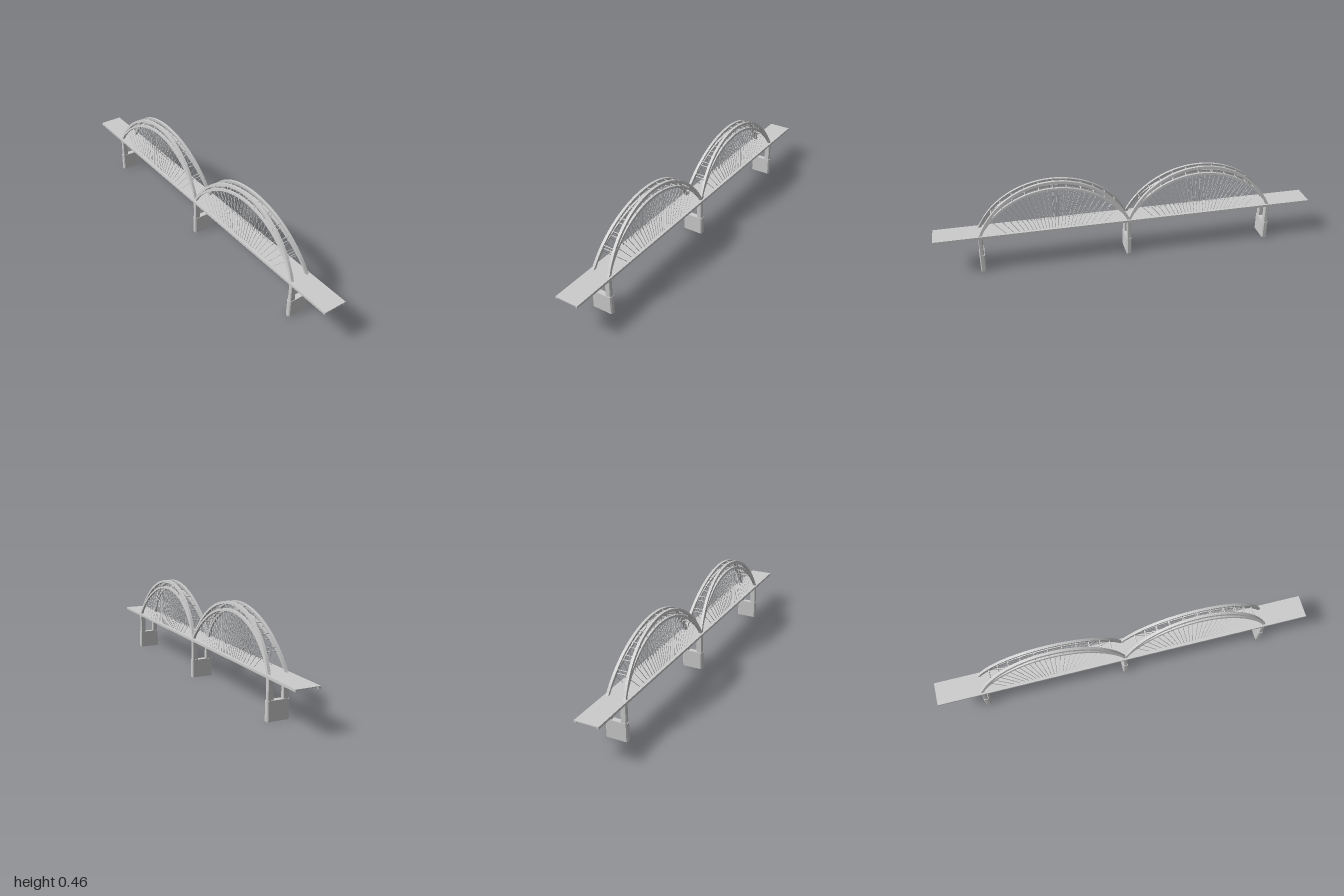
import * as THREE from 'three';

const material = new THREE.MeshStandardMaterial({ color: 0xcccccc, flatShading: true });
const DECK = 0.205, HALF = 0.3835;
const UPPER = { cy: 0.037, r: 0.418, t: 0.013, w: 0.014 };
const LOWER = { cy: -0.035, r: 0.455, t: 0.011, w: 0.012 };

// Arch planes lean inward as they rise
const lean = (y) => 0.0445 - (y - 0.21) * 0.108;
const archY = (arch, offset) => arch.cy + Math.sqrt(arch.r ** 2 - offset ** 2);

function add(parent, geometry, name) {
  const mesh = new THREE.Mesh(geometry, material);
  mesh.name = name;
  parent.add(mesh);
  return mesh;
}

function rod(parent, a, b, radius, sides, name) {
  const dir = b.clone().sub(a);
  const mesh = add(parent, new THREE.CylinderGeometry(radius, radius, dir.length(), sides), name);
  mesh.position.copy(a).add(b).multiplyScalar(0.5);
  mesh.quaternion.setFromUnitVectors(new THREE.Vector3(0, 1, 0), dir.normalize());
}

// Curved box beam, cut level at the deck and sheared into its leaning plane
function archRib({ cy, r, t, w }, side) {
  const points = [], steps = 40;
  for (const [radius, dir] of [[r + t / 2, 1], [r - t / 2, -1]]) {
    const end = Math.acos((DECK - cy) / radius);
    for (let i = 0; i <= steps; i++) {
      const a = dir * end * (2 * i / steps - 1);
      points.push(new THREE.Vector2(radius * Math.sin(a), cy + radius * Math.cos(a)));
    }
  }
  const geo = new THREE.ExtrudeGeometry(new THREE.Shape(points), { depth: w, bevelEnabled: false });
  geo.translate(0, 0, -w / 2).rotateY(-Math.PI / 2);
  const p = geo.attributes.position;
  for (let i = 0; i < p.count; i++) p.setX(i, p.getX(i) + side * lean(p.getY(i)));
  geo.computeVertexNormals();
  return geo;
}

function archSpan() {
  const span = new THREE.Group();
  const at = (side, arch, offset) => {
    const y = archY(arch, offset);
    return new THREE.Vector3(side * lean(y), y, offset);
  };
  for (const side of [-1, 1]) {
    add(span, archRib(UPPER, side), 'upperArchRib');
    add(span, archRib(LOWER, side), 'lowerArchRib');
    // Hangers fan out from below the deck
    const count = 25, fanY = -0.05;
    for (let i = 0; i < count; i++) {
      const top = at(side, LOWER, -0.325 + 0.65 * i / (count - 1));
      const z = top.z * (DECK - fanY) / (top.y - fanY);
      rod(span, top, new THREE.Vector3(side * lean(DECK), DECK, z), 0.0014, 5, 'hanger');
    }
  }
  // Cross bars between the two planes, struts between upper and lower ribs
  for (const offset of [-0.317, -0.265, -0.207, -0.142, -0.07, 0, 0.07, 0.142, 0.207, 0.265, 0.317]) {
    for (const arch of [UPPER, LOWER])
      rod(span, at(-1, arch, offset), at(1, arch, offset), 0.0025, 6, 'crossBar');
    for (const side of [-1, 1])
      rod(span, at(side, LOWER, offset * 0.985), at(side, UPPER, offset), 0.002, 6, 'ribStrut');
  }
  return span;
}

// Upright block with chamfered corners in plan
function chamferedBlock(width, depth, height, c) {
  const x = width / 2, z = depth / 2;
  const shape = new THREE.Shape([
    [-x + c, -z], [x - c, -z], [x, -z + c], [x, z - c],
    [x - c, z], [-x + c, z], [-x, z - c], [-x, -z + c],
  ].map(([a, b]) => new THREE.Vector2(a, b)));
  return new THREE.ExtrudeGeometry(shape, { depth: height, bevelEnabled: false }).rotateX(-Math.PI / 2);
}

function pier() {
  const group = new THREE.Group();
  add(group, chamferedBlock(0.112, 0.027, 0.095, 0.005), 'pierBase');
  for (const side of [-1, 1]) {
    const column = add(group, chamferedBlock(0.029, 0.021, 0.113, 0.003), 'pierColumn');
    column.position.set(side * 0.0385, 0.094, 0);
  }
  return group;
}

export function createModel() {
  const bridge = new THREE.Group();
  bridge.name = 'archBridge';

  // Deck: thin slab with downturned edge beams
  const profile = new THREE.Shape([
    [-0.061, 0.198], [-0.051, 0.198], [-0.051, 0.205], [0.051, 0.205],
    [0.051, 0.198], [0.061, 0.198], [0.061, 0.21], [-0.061, 0.21],
  ].map(([x, y]) => new THREE.Vector2(x, y)));
  const deck = new THREE.ExtrudeGeometry(profile, { depth: 2, bevelEnabled: false });
  add(bridge, deck.translate(0, 0, -1), 'deck');

  for (const z of [-2 * HALF, 0, 2 * HALF]) {
    const support = pier();
    support.name = 'pier';
    support.position.z = z;
    bridge.add(support);
  }
  for (const z of [-HALF, HALF]) {
    const span = archSpan();
    span.name = 'archSpan';
    span.position.z = z;
    bridge.add(span);
  }
  return bridge;
}
